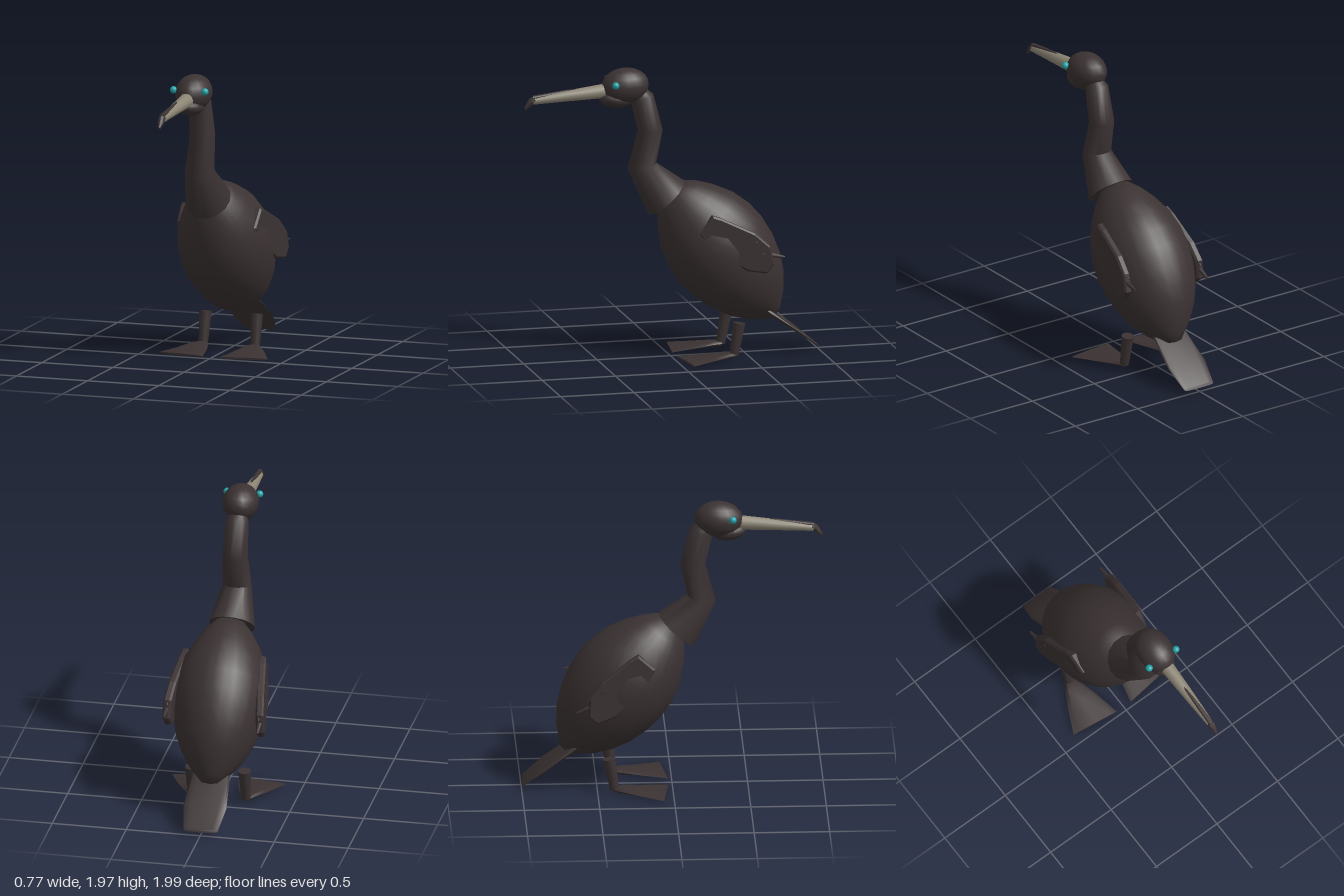
import * as THREE from 'three';
import { toCreasedNormals } from 'three/addons/utils/BufferGeometryUtils.js';

const material = (name, color) => {
  const m = new THREE.MeshStandardMaterial({ color });
  m.name = name;
  return m;
};

// Closed loft: each section is [z0, y0, z1, y1, halfWidth], its lower and upper
// edge point in the side plane. power < 1 makes the section boxier.
function loft(sections, sides = 12, power = 1, crease = 0.7) {
  const pos = [], index = [];
  const shape = (s) => Math.sign(s) * Math.abs(s) ** power;
  for (const [z0, y0, z1, y1, w] of sections) {
    for (let j = 0; j < sides; j++) {
      const a = (j / sides) * Math.PI * 2;
      const c = shape(Math.cos(a)), s = shape(Math.sin(a));
      pos.push(w * c, (y0 + y1) / 2 + (s * (y1 - y0)) / 2, (z0 + z1) / 2 + (s * (z1 - z0)) / 2);
    }
  }
  const last = sections.length - 1;
  for (let i = 0; i < last; i++) {
    for (let j = 0; j < sides; j++) {
      const k = (j + 1) % sides, a = i * sides, b = a + sides;
      index.push(a + j, a + k, b + k, a + j, b + k, b + j);
    }
  }
  for (let j = 1; j < sides - 1; j++) {
    index.push(0, j + 1, j);
    index.push(last * sides, last * sides + j, last * sides + j + 1);
  }
  const g = new THREE.BufferGeometry();
  g.setAttribute('position', new THREE.Float32BufferAttribute(pos, 3));
  g.setIndex(index);
  return toCreasedNormals(g, crease);
}

export function createModel() {
  const plumage = material('dark plumage', 0x3b3232);
  const horn = material('grey horn', 0x8c8575);
  const teal = material('teal eye', 0x1fa3a6);
  const model = new THREE.Group();
  model.name = 'waterBird';

  const add = (name, geometry, mat, parent = model) => {
    const mesh = new THREE.Mesh(geometry, mat);
    mesh.name = name;
    parent.add(mesh);
    return mesh;
  };
  const ellipsoid = (name, mat, x, y, z, rx, ry, rz, parent = model) => {
    const mesh = add(name, new THREE.SphereGeometry(1, 16, 12), mat, parent);
    mesh.position.set(x, y, z);
    mesh.scale.set(rx, ry, rz);
    return mesh;
  };
  const cone = (name, mat, from, to, r0, r1, parent) => {
    const a = new THREE.Vector3(...from), b = new THREE.Vector3(...to);
    const mesh = add(name, new THREE.CylinderGeometry(r1, r0, a.distanceTo(b), 10), mat, parent);
    mesh.position.copy(a).lerp(b, 0.5);
    mesh.quaternion.setFromUnitVectors(new THREE.Vector3(0, 1, 0), b.sub(a).normalize());
    return mesh;
  };

  // Egg-shaped body, leaning forward
  const profile = [[0, -0.01], [0.06, 0], [0.1, 0.04], [0.165, 0.1], [0.24, 0.2], [0.295, 0.31],
    [0.333, 0.44], [0.35, 0.58], [0.34, 0.7], [0.305, 0.83], [0.24, 0.95], [0.175, 1.04],
    [0.105, 1.11], [0, 1.14]].map(([r, t]) => new THREE.Vector2(r, t));
  const body = add('body', new THREE.LatheGeometry(profile, 28), plumage);
  body.position.set(0, 0.25, -0.7);
  body.rotation.x = 0.669;
  body.scale.x = 0.9;

  // Bent neck, from the shoulders up into the head
  add('neck', loft([
    [0.15, 0.97, -0.09, 1.19, 0.155],
    [0.29, 1.28, 0.1, 1.32, 0.098],
    [0.22, 1.54, 0.055, 1.54, 0.085],
    [0.27, 1.74, 0.12, 1.79, 0.077],
    [0.27, 1.78, 0.16, 1.82, 0.06],
  ], 14, 1, 0.9), plumage);

  // Head, throat and eyes
  ellipsoid('head', plumage, 0, 1.85, 0.31, 0.12, 0.12, 0.162).rotation.x = 0.08;
  ellipsoid('throat', plumage, 0, 1.765, 0.375, 0.085, 0.06, 0.115).rotation.x = -0.1;
  for (const side of [1, -1]) {
    ellipsoid(side > 0 ? 'leftEye' : 'rightEye', teal, side * 0.11, 1.877, 0.4, 0.024, 0.024, 0.024);
  }

  // Beak with a dark ridge and hooked tip
  add('beak', loft([
    [0.4, 1.775, 0.4, 1.878, 0.05],
    [0.7, 1.765, 0.7, 1.84, 0.036],
    [0.94, 1.755, 0.94, 1.804, 0.022],
  ]), horn);
  add('beakRidge', loft([
    [0.5, 1.84, 0.5, 1.856, 0.006],
    [0.72, 1.82, 0.72, 1.843, 0.012],
    [0.94, 1.79, 0.94, 1.817, 0.018],
  ], 8), plumage);
  add('beakHook', loft([
    [0.925, 1.76, 0.93, 1.817, 0.024],
    [0.955, 1.745, 0.965, 1.795, 0.022],
    [0.985, 1.718, 0.998, 1.738, 0.009],
  ], 8), plumage);

  // Flat tail, from tip to root
  add('tail', loft([
    [-0.995, 0.022, -0.985, 0.042, 0.115],
    [-0.86, 0.115, -0.84, 0.165, 0.145],
    [-0.7, 0.225, -0.66, 0.295, 0.13],
    [-0.6, 0.3, -0.57, 0.35, 0.11],
  ], 12, 0.6), plumage);

  // Wings: a flat outline that flares outwards towards its tip
  const outline = [[-0.13, 0.87], [-0.22, 0.995], [-0.28, 0.975], [-0.5, 0.87], [-0.6, 0.78],
    [-0.63, 0.66], [-0.58, 0.595], [-0.45, 0.615], [-0.3, 0.7], [-0.17, 0.81]];
  const wingShape = new THREE.Shape(outline.map(([z, y]) => new THREE.Vector2(-z, y)));
  const wingGeometry = new THREE.ExtrudeGeometry(wingShape, {
    depth: 0.03, bevelThickness: 0.012, bevelSize: 0.012, bevelOffset: -0.012, bevelSegments: 1,
  });
  wingGeometry.rotateY(Math.PI / 2);
  const p = wingGeometry.attributes.position;
  for (let i = 0; i < p.count; i++) p.setX(i, p.getX(i) + 0.235 - 0.13 * (p.getZ(i) + 0.15));
  wingGeometry.computeVertexNormals();
  for (const side of [1, -1]) {
    const wing = new THREE.Group();
    wing.name = side > 0 ? 'leftWing' : 'rightWing';
    const inner = new THREE.Group();
    add('wingPlate', wingGeometry, plumage, inner);
    cone('upperFeather', plumage, [0.305, 0.81, -0.5], [0.305, 0.75, -0.62], 0.022, 0.004, inner);
    cone('tipFeather', plumage, [0.31, 0.73, -0.55], [0.31, 0.7, -0.7], 0.022, 0.008, inner);
    // the right wing hangs a little lower, turning about the shoulder
    inner.position.set(0, -0.93, 0.22);
    wing.add(inner);
    wing.position.set(0, 0.93, -0.22);
    wing.scale.x = side;
    if (side < 0) wing.rotation.x = -0.2;
    model.add(wing);
  }

  // Legs and webbed feet
  const footGeometry = loft([
    [-0.02, 0.008, -0.02, 0.04, 0.03],
    [0.04, 0.006, 0.04, 0.045, 0.06],
    [0.15, 0.006, 0.15, 0.032, 0.105],
    [0.33, 0.0, 0.33, 0.014, 0.165],
  ], 8, 0.8);
  for (const side of [1, -1]) {
    const leg = new THREE.Group();
    leg.name = side > 0 ? 'leftLeg' : 'rightLeg';
    leg.scale.x = side;
    cone('shank', plumage, [0.182, 0.025, -0.388], [0.18, 0.238, -0.425], 0.031, 0.042, leg);
    const foot = add('foot', footGeometry, plumage, leg);
    foot.position.set(0.18, 0, -0.375);
    foot.rotation.y = 0.125;
    model.add(leg);
  }
  return model;
}
